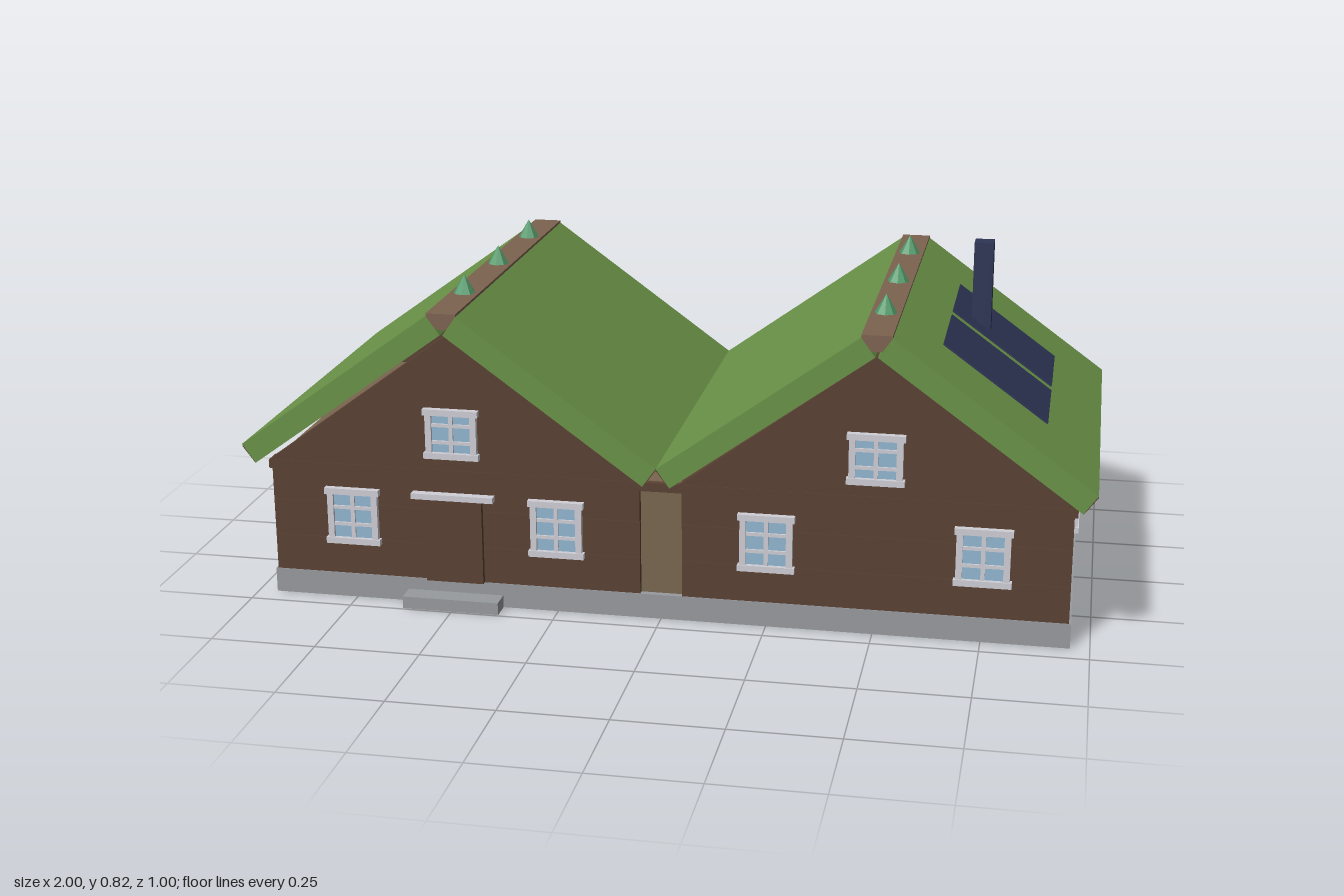
import * as THREE from 'three';

const mat = (name, color, opts = {}) => {
  const m = new THREE.MeshStandardMaterial({ color });
  m.name = name;
  return Object.assign(m, opts);
};

export function createModel() {
  const M = {
    grass: mat('turf green', 0x6a9348),
    tan: mat('wall tan', 0x7a6650),
    brown: mat('timber brown', 0x5a4132),
    ridge: mat('ridge brown', 0x7d6350),
    stone: mat('foundation grey', 0x989b9e),
    white: mat('trim white', 0xcfcfd6),
    glass: mat('window blue', 0x93b8d2),
    navy: mat('panel navy', 0x2e3555),
    shrub: mat('shrub green', 0x4f9868),
  };
  const model = new THREE.Group();
  model.name = 'twinGableHouse';

  const add = (parent, name, geo, material) => {
    const m = new THREE.Mesh(geo, material);
    m.name = name;
    parent.add(m);
    return m;
  };
  // Box given by its minimum and maximum on each axis
  const box = (parent, name, material, x0, x1, y0, y1, z0, z1) => {
    const m = add(parent, name, new THREE.BoxGeometry(x1 - x0, y1 - y0, z1 - z0), material);
    m.position.set((x0 + x1) / 2, (y0 + y1) / 2, (z0 + z1) / 2);
    return m;
  };
  // Polygon in the xy plane, extruded from z0 to z1
  const prism = (parent, name, material, pts, z0, z1) => {
    const shape = new THREE.Shape(pts.map(([x, y]) => new THREE.Vector2(x, y)));
    const geo = new THREE.ExtrudeGeometry(shape, { depth: z1 - z0, bevelEnabled: false });
    return add(parent, name, geo.translate(0, 0, z0), material);
  };

  // Foundation, step and wall body
  box(model, 'foundation', M.stone, -0.955, 0.955, 0, 0.06, -0.445, 0.445);
  box(model, 'doorStep', M.stone, -0.62, -0.385, 0, 0.03, 0.445, 0.495);
  box(model, 'wallBody', M.tan, -0.945, 0.945, 0.06, 0.34, -0.43, 0.43);

  // Timber boards over the front wall, leaving the middle strip bare
  for (const s of [-1, 1]) {
    for (let i = 0; i < 3; i++) {
      const y = 0.06 + i * 0.09;
      box(model, 'frontBoard', M.brown, s * 0.5 - 0.45, s * 0.5 + 0.45, y, y + 0.089, 0.425, 0.443);
    }
  }

  // Door with canopy
  box(model, 'door', M.brown, -0.57, -0.43, 0.06, 0.268, 0.44, 0.456);
  box(model, 'doorCanopy', M.white, -0.6, -0.4, 0.268, 0.282, 0.44, 0.464);

  // Window facing +z: glass, frame, glazing bars, lintel and sill
  const addWindow = (x, y, z, turn, h = 0.13) => {
    const g = new THREE.Group();
    g.name = 'window';
    const w = 0.06, t = h / 2;
    box(g, 'glass', M.glass, -w, w, -t, t, -0.005, 0.004);
    for (const s of [-1, 1]) {
      box(g, 'frameSide', M.white, s * 0.0545 - 0.0075, s * 0.0545 + 0.0075, -t, t, -0.005, 0.012);
    }
    box(g, 'lintel', M.white, -0.067, 0.067, t - 0.01, t + 0.005, -0.005, 0.015);
    box(g, 'sill', M.white, -0.067, 0.067, -t - 0.005, -t + 0.01, -0.005, 0.015);
    box(g, 'middleBar', M.white, -0.005, 0.005, -t, t, -0.005, 0.009);
    for (const s of [-1, 1]) {
      box(g, 'crossBar', M.white, -w, w, s * 0.021 - 0.004, s * 0.021 + 0.004, -0.005, 0.009);
    }
    g.position.set(x, y, z);
    g.rotation.y = turn;
    model.add(g);
  };
  for (const x of [-0.75, -0.25, 0.25, 0.75]) addWindow(x, 0.21, 0.444, 0);
  for (const x of [-0.63, 0, 0.63]) addWindow(x, 0.21, -0.431, Math.PI);
  for (const s of [-1, 1]) {
    addWindow(s * 0.946, 0.21, 0, s * Math.PI / 2);
    addWindow(s * 0.5, 0.43, 0.443, 0, 0.112);
    addWindow(s * 0.5, 0.43, -0.443, Math.PI, 0.112);
  }

  // Gable plates and the trim under them, front and back
  for (const s of [-1, 1]) {
    const z0 = s > 0 ? 0.405 : -0.442, z1 = s > 0 ? 0.442 : -0.405;
    for (const cx of [-0.5, 0.5]) {
      prism(model, 'gable', M.brown,
        [[cx - 0.46, 0.335], [cx + 0.46, 0.335], [cx, 0.674]], z0, z1);
    }
    box(model, 'gableTrim', M.brown, -0.958, 0.958, 0.317, 0.338,
      s > 0 ? 0.4 : -0.444, s > 0 ? 0.444 : -0.4);
  }

  // Two turf roofs, each with mirrored slabs, a ridge cap and shrubs
  const top = [0.035, 0.73], eave = [0.5, 0.393], nx = 0.032, ny = 0.045;
  for (const cx of [-0.5, 0.5]) {
    for (const s of [-1, 1]) {
      const pts = [top, eave, [eave[0] - nx, eave[1] - ny], [top[0] - nx, top[1] - ny]];
      prism(model, 'roofSlab', M.grass, pts.map(([x, y]) => [cx + s * x, y]), -0.5, 0.5);
      // Board end at the front corner of the eave
      const tip = [[0.4985, 0.389], [0.4995, 0.388], [0.469, 0.3475], [0.467, 0.3495]];
      prism(model, 'eaveBoardEnd', M.brown, tip.map(([x, y]) => [cx + s * x, y]), 0.47, 0.4995);
    }
    prism(model, 'ridgeCap', M.ridge,
      [[cx - 0.035, 0.736], [cx - 0.035, 0.728], [cx - 0.012, 0.698],
        [cx + 0.012, 0.698], [cx + 0.035, 0.728], [cx + 0.035, 0.736]], -0.5, 0.5);
    for (const z of [-0.3, 0, 0.3]) {
      const shrub = add(model, 'ridgeShrub',
        new THREE.ConeGeometry(0.027, 0.046, 8).toNonIndexed(), M.shrub);
      shrub.geometry.computeVertexNormals();
      shrub.position.set(cx, 0.758, z);
    }
  }

  // Solar panels on the outer slope of the right-hand roof, and the chimney
  const slopeY = (x) => 0.393 + (1 - x) * 0.725;
  for (const [z0, z1] of [[-0.28, -0.02], [0.02, 0.28]]) {
    prism(model, 'solarPanel', M.navy,
      [[0.63, slopeY(0.63) - 0.003], [0.875, slopeY(0.875) - 0.003],
        [0.878, slopeY(0.875) + 0.003], [0.633, slopeY(0.63) + 0.003]], z0, z1);
  }
  box(model, 'chimney', M.navy, 0.675, 0.722, 0.335, 0.82, -0.124, -0.076);

  return model;
}
